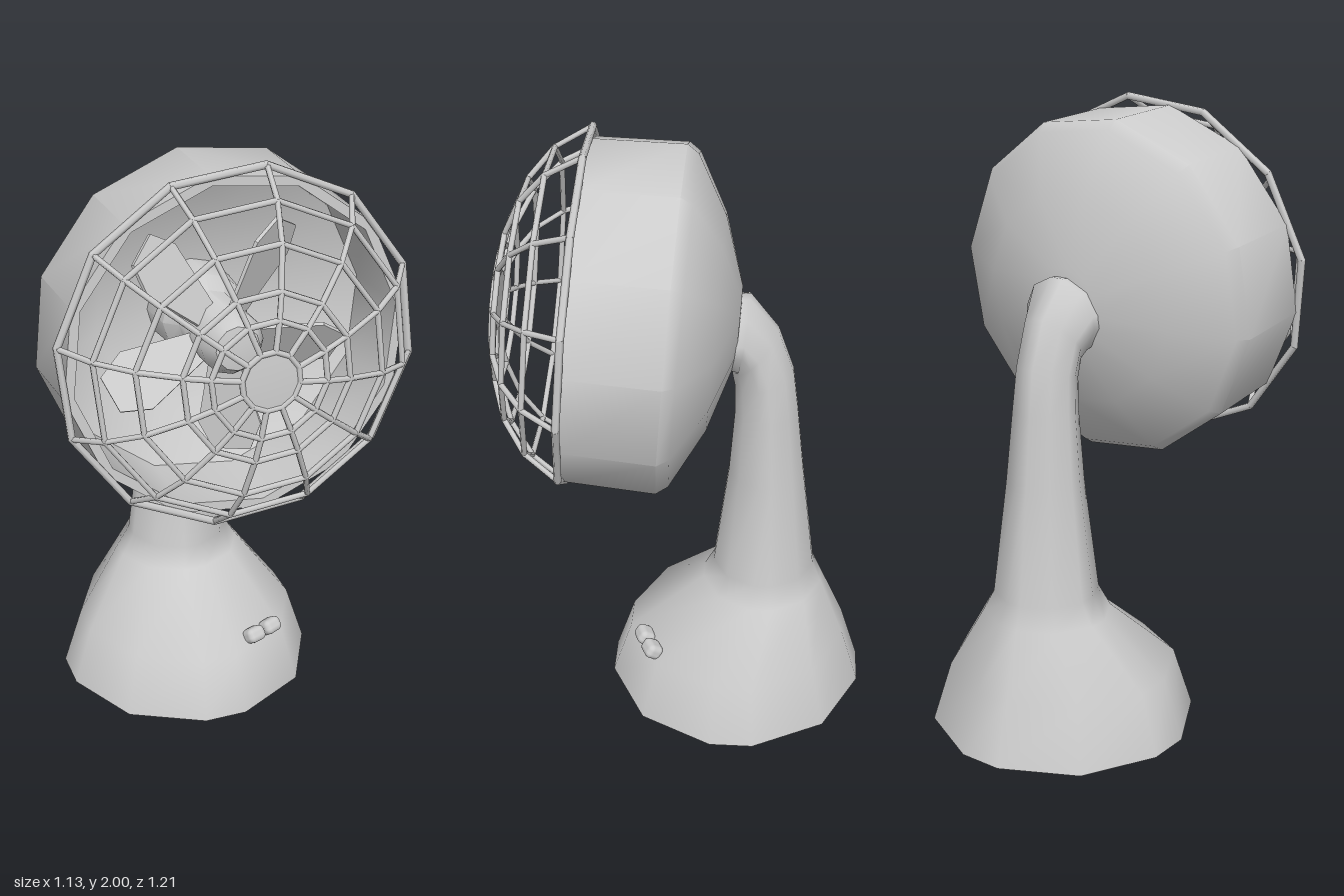
import * as THREE from 'three';
import { mergeGeometries, toCreasedNormals } from 'three/addons/utils/BufferGeometryUtils.js';
import { RoundedBoxGeometry } from 'three/addons/geometries/RoundedBoxGeometry.js';

const material = new THREE.MeshStandardMaterial({ color: 0xcccccc });
const thin = new THREE.MeshStandardMaterial({ color: 0xcccccc, side: THREE.DoubleSide });
const rad = THREE.MathUtils.degToRad;
const SIDES = 12;

function part(name, geometry, mat = material) {
  const mesh = new THREE.Mesh(geometry, mat);
  mesh.name = name;
  return mesh;
}

// Lathe whose axis points along +z; profile points are [radius, axial]
function turned(profile, sides, startDeg = 0, crease = 0.8) {
  const pts = profile.map(([r, a]) => new THREE.Vector2(r, a));
  const g = new THREE.LatheGeometry(pts, sides, rad(startDeg));
  return toCreasedNormals(g.rotateX(Math.PI / 2), crease);
}

// Straight wire between two points
function rod(a, b, radius) {
  const dir = new THREE.Vector3().subVectors(b, a);
  const g = new THREE.CylinderGeometry(radius, radius, dir.length() + radius * 0.6, 6);
  g.applyQuaternion(new THREE.Quaternion().setFromUnitVectors(new THREE.Vector3(0, 1, 0), dir.normalize()));
  return g.translate((a.x + b.x) / 2, (a.y + b.y) / 2, (a.z + b.z) / 2);
}

// Skin through rings [y, z, rx, rz, tilt]; tilt turns a ring's face from +y to +z
function loft(rings, angles) {
  const n = angles.length, pos = [], idx = [];
  for (const [y, z, rx, rz, tilt] of rings)
    for (const a of angles) {
      const f = rz * Math.cos(rad(a)), t = rad(tilt);
      pos.push(rx * Math.sin(rad(a)), y - f * Math.sin(t), z + f * Math.cos(t));
    }
  for (let i = 0; i < rings.length - 1; i++)
    for (let j = 0; j < n; j++) {
      const a = i * n + j, b = i * n + (j + 1) % n;
      idx.push(a, b, b + n, a, b + n, a + n);
    }
  const g = new THREE.BufferGeometry();
  g.setAttribute('position', new THREE.Float32BufferAttribute(pos, 3));
  g.setIndex(idx);
  g.computeVertexNormals();
  return g;
}

function createStand() {
  const stand = new THREE.Group();
  stand.name = 'stand';
  const angles = [];
  for (let q = 0; q < 4; q++) angles.push(q * 90 + 9.5, q * 90 + 45, q * 90 + 80.5);

  // Base flowing into the bent neck
  stand.add(part('baseAndNeck', loft([
    [0, -0.175, 0.435, 0.435, 0],
    [0.2, -0.177, 0.372, 0.372, 0],
    [0.41, -0.26, 0.212, 0.202, 0],
    [0.48, -0.262, 0.17, 0.17, 0],
    [0.85, -0.262, 0.125, 0.124, 0],
    [1.08, -0.257, 0.106, 0.103, 4],
    [1.205, -0.247, 0.098, 0.098, 16],
    [1.3, -0.217, 0.1, 0.108, 48],
    [1.365, -0.18, 0.132, 0.132, 82],
    [1.366, -0.15, 0.132, 0.125, 85],
  ], angles)));

  // Underside of the base
  const foot = new THREE.Shape(angles.map(a =>
    new THREE.Vector2(0.435 * Math.sin(rad(a)), 0.435 * Math.cos(rad(a)))));
  const under = part('baseUnderside', new THREE.ShapeGeometry(foot).rotateX(Math.PI / 2));
  under.position.z = -0.175;
  stand.add(under);

  // Control buttons on the slope of the base
  [[0.145, 0.135, 0.35], [0.215, 0.105, 0.45]].forEach(([x, z, turn], i) => {
    const button = part('button' + (i + 1), new RoundedBoxGeometry(0.07, 0.052, 0.06, 2, 0.02));
    button.position.set(x, 0.228, z);
    button.rotation.set(-0.6, turn, 0, 'YXZ');
    stand.add(button);
  });
  return stand;
}

function createGrille() {
  const grille = new THREE.Group();
  grille.name = 'grille';
  const profile = [[0.562, 0], [0.488, 0.11], [0.385, 0.185], [0.26, 0.23], [0.18, 0.247], [0.09, 0.255]];
  const at = ([r, z], k) => {
    const a = rad(9.5 + k * 30);
    return new THREE.Vector3(r * Math.sin(a), r * Math.cos(a), z);
  };
  const spokes = [], rings = [];
  for (let k = 0; k < SIDES; k++)
    profile.forEach((p, i) => {
      if (i) spokes.push(rod(at(profile[i - 1], k), at(p, k), 0.009));
      rings.push(rod(at(p, k), at(p, k + 1), i ? 0.009 : 0.012));
    });
  grille.add(part('grilleSpokes', mergeGeometries(spokes)));
  grille.add(part('grilleRings', mergeGeometries(rings)));
  grille.add(part('grilleCap', turned([[0, 0.246], [0.092, 0.246], [0.092, 0.258], [0, 0.264]], SIDES, 20.5)));
  return grille;
}

function createFan() {
  const fan = new THREE.Group();
  fan.name = 'fan';
  fan.add(part('hub', turned([[0.15, -0.46], [0.14, -0.3], [0.1, -0.26], [0.1, -0.06], [0.07, -0.01], [0, 0]], SIDES)));

  // Pitched paddle blade, widening outward
  const shape = new THREE.Shape([[-0.04, 0.06], [0.04, 0.06], [0.1, 0.3], [0.06, 0.39], [-0.06, 0.39], [-0.1, 0.3]]
    .map(([x, y]) => new THREE.Vector2(x, y)));
  const blade = new THREE.ExtrudeGeometry(shape, { depth: 0.012, bevelEnabled: false }).rotateY(0.6);
  for (let i = 0; i < 5; i++) {
    const mesh = part('blade' + (i + 1), blade);
    mesh.position.z = -0.15;
    mesh.rotation.z = rad(40 - i * 72);
    fan.add(mesh);
  }
  return fan;
}

export function createModel() {
  const model = new THREE.Group();
  model.name = 'deskFan';
  model.add(createStand());

  // Head leans slightly upward about the centre of its front rim
  const head = new THREE.Group();
  head.name = 'head';
  head.position.set(0, 1.435, 0.338);
  head.rotation.x = -0.075;
  head.add(part('housing', turned([
    [0, -0.508], [0.125, -0.502], [0.345, -0.432], [0.53, -0.332], [0.556, -0.295],
    [0.545, -0.005], [0.515, -0.005], [0.51, -0.28], [0.33, -0.4], [0, -0.46],
  ], SIDES, 8), thin));
  head.add(createGrille(), createFan());
  model.add(head);
  return model;
}
